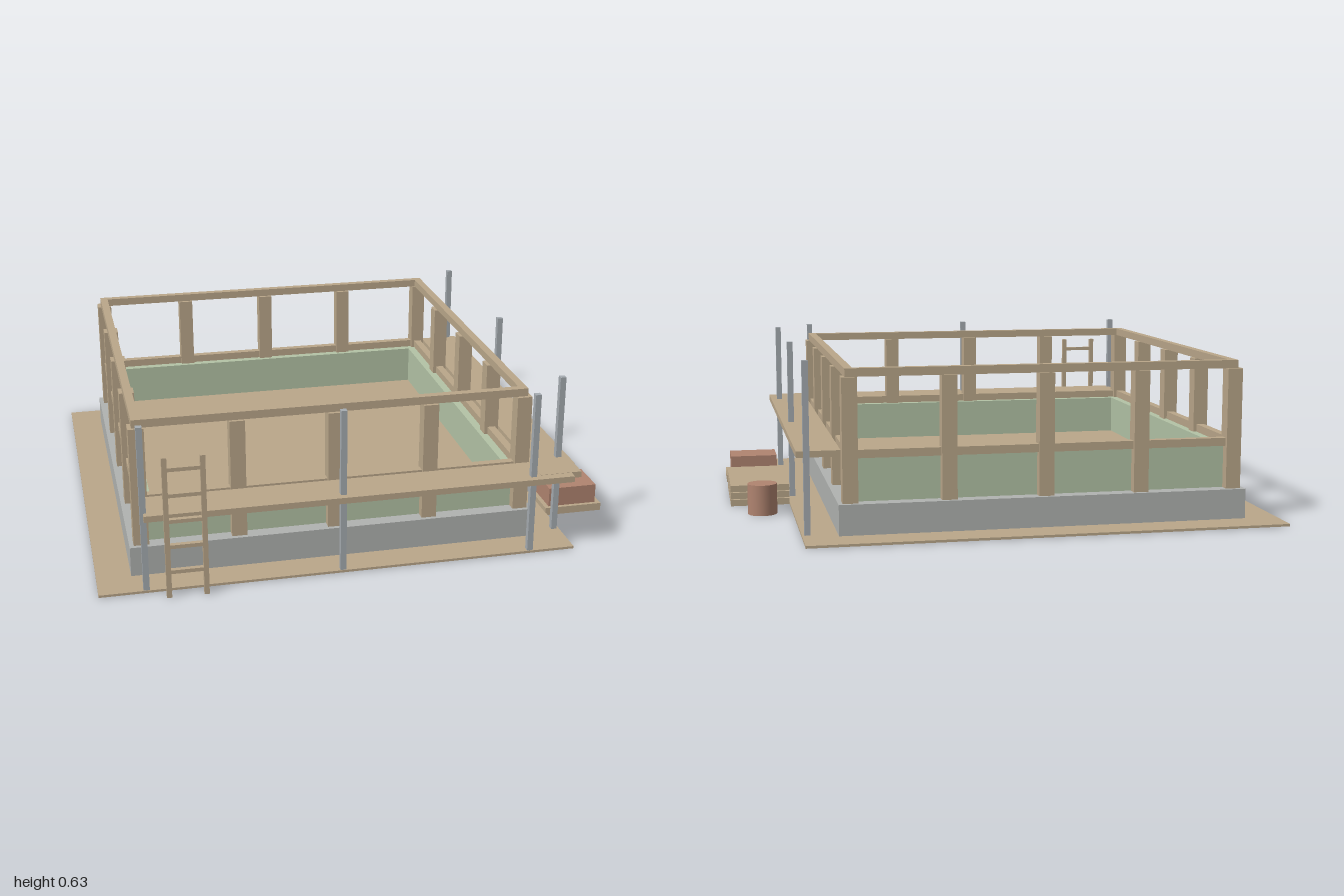
import * as THREE from 'three';

const material = (name, color) => {
  const m = new THREE.MeshStandardMaterial({ color });
  m.name = name;
  return m;
};

export function createModel() {
  const model = new THREE.Group();
  model.name = 'timberFrameSite';
  const timber = material('timber', 0xbaa78a);
  const concrete = material('concrete', 0xb0b2b0);
  const panel = material('greenPanel', 0xb3c3a6);
  const steel = material('steel', 0xa6acb1);
  const clay = material('clay', 0xb08470);

  // Box given by its lower and upper corners
  const box = (name, mat, x0, x1, y0, y1, z0, z1, parent = model) => {
    const mesh = new THREE.Mesh(new THREE.BoxGeometry(x1 - x0, y1 - y0, z1 - z0), mat);
    mesh.position.set((x0 + x1) / 2, (y0 + y1) / 2, (z0 + z1) / 2);
    mesh.name = name;
    parent.add(mesh);
  };

  // Wall centre lines
  const L = -0.83, R = 0.6, B = -0.74, F = 0.693;

  // Square ring of four walls; outer and inner offsets are measured outward from the wall line
  const ring = (name, mat, outer, inner, y0, y1) => {
    const g = new THREE.Group();
    g.name = name;
    model.add(g);
    box(name + 'Back', mat, L - outer, R + outer, y0, y1, B - outer, B - inner, g);
    box(name + 'Front', mat, L - outer, R + outer, y0, y1, F + inner, F + outer, g);
    box(name + 'Left', mat, R + inner, R + outer, y0, y1, B - inner, F + inner, g);
    box(name + 'Right', mat, L - outer, L - inner, y0, y1, B - inner, F + inner, g);
  };

  // Ground, foundation (showing through underneath) and raised floor
  box('groundSlab', timber, -1, 0.772, 0.001, 0.01, -0.91, 0.857);
  ring('foundation', concrete, 0.044, -0.044, 0, 0.122);
  box('floor', timber, L + 0.02, R - 0.02, 0.1, 0.127, B + 0.02, F - 0.02);

  // Infill panels and horizontal rails
  ring('infillPanel', panel, -0.008, -0.046, 0.122, 0.282);
  ring('middleRail', timber, 0.015, -0.015, 0.282, 0.312);
  ring('topRail', timber, 0.015, -0.015, 0.572, 0.602);

  // Timber posts, five to a side
  const half = 0.028;
  for (let i = 0; i < 5; i++) {
    for (let j = 0; j < 5; j++) {
      if (i % 4 && j % 4) continue;
      const x = L + (R - L) * i / 4, z = B + (F - B) * j / 4;
      box('post', timber, x - half, x + half, 0.122, 0.572, z - half, z + half);
    }
  }

  // Scaffold decks along the front and the left side
  box('frontDeck', timber, -0.83, 0.749, 0.287, 0.31, 0.72, 0.879);
  box('sideDeck', timber, 0.63, 0.788, 0.288, 0.311, -0.74, 0.845);

  // Scaffold poles
  const poles = [];
  for (let i = 0; i < 3; i++) {
    poles.push([L + (R - L) * i / 2, 0.843], [0.752, B + (F - B) * i / 2]);
  }
  for (const [x, z] of poles) {
    box('scaffoldPole', steel, x - 0.011, x + 0.011, 0.005, 0.632, z - 0.011, z + 0.011);
  }

  // Ladder
  const ladder = new THREE.Group();
  ladder.name = 'ladder';
  model.add(ladder);
  for (const x of [-0.755, -0.622]) {
    box('ladderRail', timber, x - 0.009, x + 0.009, 0, 0.535, 0.89, 0.908, ladder);
  }
  for (let i = 0; i < 5; i++) {
    const y = 0.1 + i * 0.0975;
    box('ladderRung', timber, -0.748, -0.629, y - 0.007, y + 0.007, 0.89, 0.908, ladder);
  }

  // Stacked boards
  for (let i = 0; i < 3; i++) {
    box('boardStack', timber, 0.772, 1, i * 0.028, i * 0.028 + 0.025, -0.14, 0.28);
  }

  // Brick pile on a pallet
  box('pallet', timber, 0.77, 1, 0, 0.03, 0.375, 0.565);
  box('brickPile', clay, 0.787, 0.98, 0.03, 0.106, 0.395, 0.55);

  // Barrel
  const barrel = new THREE.Mesh(new THREE.CylinderGeometry(0.056, 0.056, 0.117, 24), clay);
  barrel.position.set(0.885, 0.0585, -0.291);
  barrel.name = 'barrel';
  model.add(barrel);

  return model;
}
